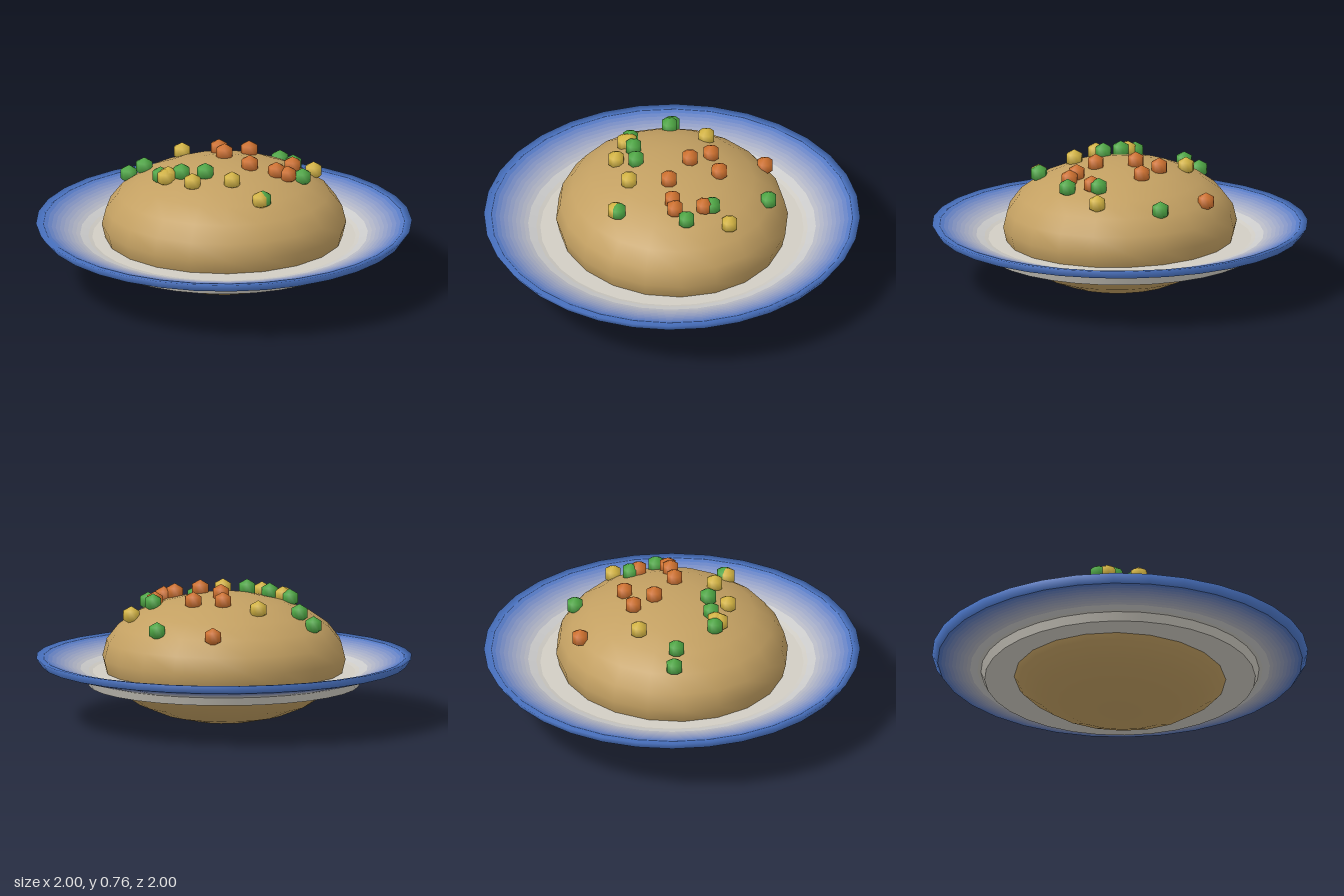
import * as THREE from 'three';

const mat = (color) => new THREE.MeshStandardMaterial({ color });

// Ellipsoid mound: centre height and radii
const CY = 0.345, RX = 0.65, RY = 0.345, RZ = 0.613;

const CREAM = new THREE.Color(0xd2cec4);
const BLUE = new THREE.Color(0x4a74c4);

// One lathe-turned piece of the plate
function ring(name, points, color) {
  const geo = new THREE.LatheGeometry(points.map(([r, y]) => new THREE.Vector2(r, y)), 32);
  const mesh = new THREE.Mesh(geo, mat(color));
  mesh.name = name;
  return mesh;
}

// Sloping surface from a to b, blended between two colours in narrow bands
function gradientRings(name, a, b, from, to, bands = 12) {
  const group = new THREE.Group();
  group.name = name;
  const at = (t) => [THREE.MathUtils.lerp(a[0], b[0], t), THREE.MathUtils.lerp(a[1], b[1], t)];
  for (let i = 0; i < bands; i++) {
    const color = from.clone().lerp(to, (i + 0.5) / bands);
    group.add(ring(name + 'Band', [at(i / bands), at((i + 1) / bands)], color));
  }
  return group;
}

function createPlate() {
  const plate = new THREE.Group();
  plate.name = 'plate';
  plate.add(
    ring('plateBase', [[0, 0.2], [0.72, 0.2]], CREAM),
    ring('plateFoot', [[0.72, 0.2], [0.74, 0.245]], CREAM),
    gradientRings('plateUnderside', [0.74, 0.245], [0.97, 0.305], CREAM, BLUE),
    ring('plateRim', [[0.97, 0.305], [1, 0.35], [0.96, 0.345]], BLUE),
    gradientRings('plateSlope', [0.96, 0.345], [0.7, 0.27], BLUE, CREAM),
    ring('plateWell', [[0.7, 0.27], [0, 0.27]], CREAM),
  );
  return plate;
}

// Vegetable pieces as [x, z] positions on the mound
const PIECES = {
  carrotPiece: {
    color: 0xd0722f,
    spots: [[0, -0.53], [-0.02, -0.23], [0.14, -0.215], [0.005, -0.1],
      [0.135, 0.07], [0.275, 0.105], [0.335, 0.115], [0.365, -0.04]],
  },
  pea: {
    color: 0x4fa845,
    spots: [[0.31, -0.43], [-0.5, -0.195], [-0.42, -0.15], [0.37, -0.085], [0.415, 0.08],
      [-0.34, 0.105], [-0.23, 0.13], [-0.105, 0.165], [0.195, 0.385]],
  },
  cornKernel: {
    color: 0xd6b644,
    spots: [[-0.215, -0.28], [0.48, -0.14], [-0.315, 0.145], [-0.3, 0.127],
      [-0.175, 0.25], [0.035, 0.26], [0.182, 0.393]],
  },
};

export function createModel() {
  const model = new THREE.Group();
  model.name = 'plateOfFood';
  model.add(createPlate());

  // Rounded mound of food passing through the plate
  const mound = new THREE.Mesh(new THREE.SphereGeometry(1, 20, 12), mat(0xc3a062));
  mound.name = 'mound';
  mound.scale.set(RX, RY, RZ);
  mound.position.y = CY;
  model.add(mound);

  // Toppings resting on the mound surface
  const pieceGeo = new THREE.SphereGeometry(0.05, 8, 3);
  for (const [name, { color, spots }] of Object.entries(PIECES)) {
    const material = mat(color);
    for (const [x, z] of spots) {
      const piece = new THREE.Mesh(pieceGeo, material);
      piece.name = name;
      const h = Math.sqrt(1 - (x / RX) ** 2 - (z / RZ) ** 2);
      piece.position.set(x, CY + RY * h + 0.02, z);
      model.add(piece);
    }
  }
  return model;
}
